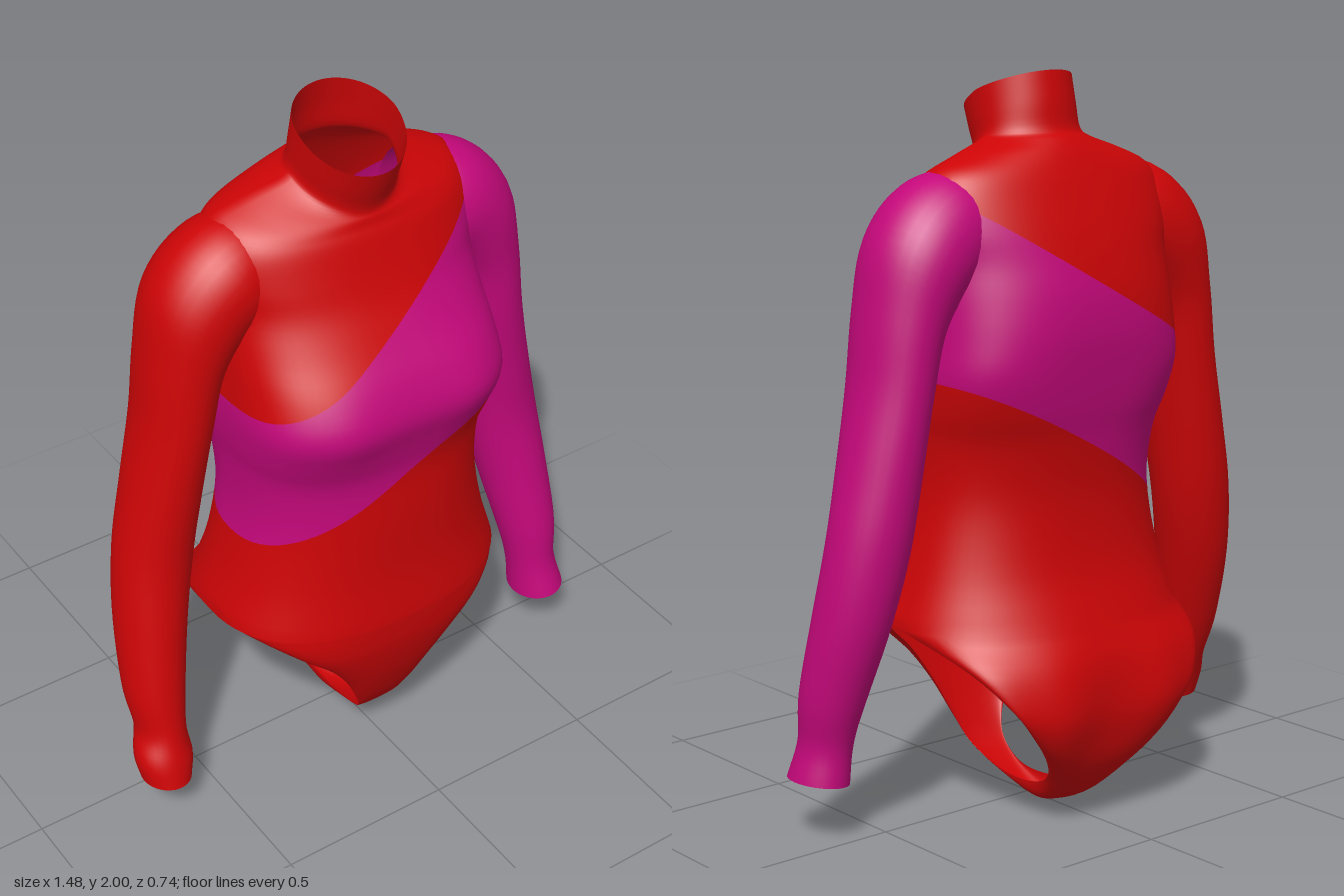
import * as THREE from 'three';
import { mergeVertices, mergeGeometries } from 'three/addons/utils/BufferGeometryUtils.js';

const red = new THREE.MeshStandardMaterial({ color: 0xcc0406, side: THREE.DoubleSide });
const magenta = new THREE.MeshStandardMaterial({ color: 0xc4087a, side: THREE.DoubleSide });

// Smoothly resample a table of section parameters
function resample(rows, steps) {
  const stride = rows[0].length;
  const curve = new THREE.CubicInterpolant(rows.map((_, i) => i), rows.flat(), stride);
  const out = [];
  const count = (rows.length - 1) * steps;
  for (let i = 0; i <= count; i++) out.push(Array.from(curve.evaluate(i / steps)));
  return out;
}

// Skin a list of sections that all have the same number of points
function loft(sections) {
  const n = sections[0].length, pos = sections.flat(2), index = [];
  for (let i = 0; i < sections.length - 1; i++) {
    for (let j = 0; j < n - 1; j++) {
      const a = i * n + j, b = a + n;
      index.push(a, a + 1, b + 1, a, b + 1, b);
    }
  }
  const g = new THREE.BufferGeometry();
  g.setAttribute('position', new THREE.Float32BufferAttribute(pos, 3));
  g.setIndex(index);
  return g;
}

const bump = (d, w) => Math.exp(-(d * d) / (w * w));

// Soft bust and seat fullness to either side of the midline
function sculpt([x, y, z]) {
  const side = Math.abs(x);
  if (z > 0.1) z += 0.012 * bump(side - 0.19, 0.1) * bump(y - 1.24, 0.12);
  if (z < -0.1) z -= 0.025 * bump(side - 0.17, 0.1) * bump(y - 0.32, 0.15);
  return [x, y, z];
}

const power = (v, p) => (Math.abs(v) < 1e-9 ? 0 : Math.sign(v) * Math.abs(v) ** p);
const HALF = 36;

// Closed torso rings: half width, squareness, then y,z at front, side and back
function torsoGeometry() {
  const flat = (w, p, y, zf, zs, zb) => [w, p, y, zf, y, zs, y, zb];
  const rows = [
    flat(0.44, 0.85, 0.55, 0.34, 0.02, -0.31),
    flat(0.395, 0.85, 0.7, 0.325, 0.02, -0.262),
    flat(0.362, 0.85, 0.88, 0.322, 0.02, -0.245),
    flat(0.365, 0.8, 1.03, 0.318, 0.02, -0.26),
    flat(0.38, 0.68, 1.13, 0.338, 0.01, -0.28),
    flat(0.388, 0.6, 1.23, 0.362, 0, -0.295),
    flat(0.382, 0.66, 1.33, 0.335, -0.01, -0.305),
    flat(0.378, 0.75, 1.43, 0.277, -0.025, -0.3),
    flat(0.375, 0.8, 1.52, 0.227, -0.035, -0.28),
    flat(0.385, 0.8, 1.6, 0.195, -0.04, -0.255),
    flat(0.385, 0.85, 1.68, 0.168, -0.04, -0.225),
    [0.35, 0.9, 1.71, 0.155, 1.75, -0.04, 1.74, -0.2],
    [0.26, 0.95, 1.73, 0.15, 1.79, -0.02, 1.79, -0.175],
    [0.17, 1, 1.745, 0.145, 1.82, 0, 1.825, -0.15],
    [0.145, 1, 1.77, 0.15, 1.84, 0, 1.85, -0.125],
    [0.142, 1, 1.82, 0.17, 1.89, 0.02, 1.92, -0.115],
    [0.142, 1, 1.875, 0.19, 1.95, 0.04, 2.0, -0.1],
  ];
  return loft(resample(rows, 4).map(([w, p, yf, zf, ys, zs, yb, zb]) => {
    const ring = [];
    for (let j = 0; j <= HALF * 2; j++) {
      const a = (j / HALF - 0.5) * Math.PI, c = Math.cos(a);
      const k = power(Math.abs(c), p);
      const [y, z] = c >= 0 ? [yf, zf] : [yb, zb];
      ring.push(sculpt([w * power(Math.sin(a), p), ys + (y - ys) * k, zs + (z - zs) * k]));
    }
    return ring;
  }));
}

// Strip from the seat, between the legs and up the front: y,z on the midline, x,y,z on the leg hem
function briefGeometry() {
  const rows = [
    [0.55, -0.31, 0.44, 0.55, 0.02],
    [0.46, -0.342, 0.39, 0.47, -0.22],
    [0.36, -0.352, 0.32, 0.37, -0.32],
    [0.27, -0.346, 0.25, 0.28, -0.312],
    [0.16, -0.315, 0.17, 0.19, -0.265],
    [0.07, -0.24, 0.095, 0.12, -0.19],
    [0.02, -0.14, 0.05, 0.07, -0.11],
    [0.002, -0.05, 0.04, 0.05, -0.02],
    [0.04, 0.07, 0.04, 0.06, 0.09],
    [0.1, 0.175, 0.06, 0.115, 0.185],
    [0.18, 0.235, 0.095, 0.2, 0.22],
    [0.28, 0.282, 0.145, 0.3, 0.24],
    [0.36, 0.31, 0.215, 0.4, 0.245],
    [0.44, 0.33, 0.31, 0.48, 0.21],
    [0.5, 0.337, 0.385, 0.53, 0.13],
    [0.55, 0.34, 0.44, 0.55, 0.02],
  ];
  return loft(resample(rows, 4).map(([yc, zc, xe, ye, ze]) => {
    const line = [];
    for (let j = 0; j <= HALF; j++) {
      const a = (j / HALF - 0.5) * Math.PI, k = power(Math.cos(a), 0.85);
      line.push(sculpt([xe * power(Math.sin(a), 0.85), ye + (yc - ye) * k, ze + (zc - ze) * k]));
    }
    return line;
  }));
}

// Triangles as lists of [x, y, z, nx, ny, nz] corners
function toPolygons(g) {
  const p = g.attributes.position, n = g.attributes.normal, polys = [];
  for (let i = 0; i < g.index.count; i += 3) {
    polys.push([0, 1, 2].map((k) => {
      const v = g.index.getX(i + k);
      return [p.getX(v), p.getY(v), p.getZ(v), n.getX(v), n.getY(v), n.getZ(v)];
    }));
  }
  return polys;
}

// Keep the part of each polygon where f is positive
function clip(polys, f) {
  return polys.map((poly) => poly.flatMap((a, i) => {
    const b = poly[(i + 1) % poly.length], fa = f(a), fb = f(b);
    const kept = fa >= 0 ? [a] : [];
    if ((fa >= 0) !== (fb >= 0)) kept.push(a.map((v, k) => v + (b[k] - v) * fa / (fa - fb)));
    return kept;
  })).filter((poly) => poly.length > 2);
}

function panel(name, polys, material) {
  const corners = polys.flatMap((q) => q.slice(2).flatMap((c, i) => [q[0], q[i + 1], c]));
  const g = new THREE.BufferGeometry();
  g.setAttribute('position', new THREE.Float32BufferAttribute(corners.flatMap((c) => c.slice(0, 3)), 3));
  g.setAttribute('normal', new THREE.Float32BufferAttribute(corners.flatMap((c) => c.slice(3)), 3));
  const mesh = new THREE.Mesh(g, material);
  mesh.name = name;
  return mesh;
}

// Sleeve sections: centre x,y,z, radius across and radius in depth
function sleeve(name, side, cuff, material) {
  const rows = resample([
    [0.24, 1.635, -0.035, 0.125, 0.13],
    [0.33, 1.597, -0.035, 0.153, 0.156],
    [0.41, 1.52, -0.04, 0.146, 0.158],
    [0.467, 1.38, -0.04, 0.112, 0.144],
    [0.5, 1.2, -0.04, 0.1, 0.136],
    [0.538, 1.0, -0.043, 0.104, 0.125],
    [0.576, 0.8, -0.04, 0.108, 0.115],
    [0.612, 0.6, -0.012, 0.1, 0.11],
    [0.64, 0.4, 0.035, 0.086, 0.095],
    ...cuff,
  ], 6);
  const g = mergeVertices(loft(rows.map(([x, y, z, r, d], i) => {
    const a = rows[Math.max(i - 1, 0)], b = rows[Math.min(i + 1, rows.length - 1)];
    const tilt = new THREE.Vector2(a[1] - b[1], b[0] - a[0]).normalize();
    const ring = [];
    for (let j = 0; j <= 32; j++) {
      const t = -side * (j % 32) / 16 * Math.PI, c = Math.cos(t) * r;
      ring.push([side * (x + c * tilt.x), y + c * tilt.y, z + Math.sin(t) * d]);
    }
    return ring;
  })), 1e-5);
  g.computeVertexNormals();
  const mesh = new THREE.Mesh(g, material);
  mesh.name = name;
  return mesh;
}

export function createModel() {
  const model = new THREE.Group();
  model.name = 'bodysuit';

  const body = mergeVertices(mergeGeometries([torsoGeometry(), briefGeometry()]), 1e-5);
  body.computeVertexNormals();
  const polys = toPolygons(body);

  // Diagonal sash across chest and back, with gently bowed edges
  const upper = ([x, y]) => y - 1.46 - 0.56 * x - 0.16 * x * x;
  const lower = ([x, y]) => y - 1.03 - 0.53 * x + 0.15 * x * x;
  model.add(
    panel('yokeAndCollar', clip(polys, upper), red),
    panel('diagonalBand', clip(clip(polys, (v) => -upper(v)), lower), magenta),
    panel('waistAndBrief', clip(polys, (v) => -lower(v)), red),
    sleeve('leftSleeve', 1, [[0.648, 0.27, 0.06, 0.07, 0.08], [0.662, 0.165, 0.075, 0.078, 0.092]], magenta),
    sleeve('rightSleeve', -1, [[0.647, 0.28, 0.07, 0.07, 0.082], [0.658, 0.2, 0.1, 0.083, 0.08],
      [0.664, 0.135, 0.12, 0.07, 0.077]], red),
  );
  return model;
}
